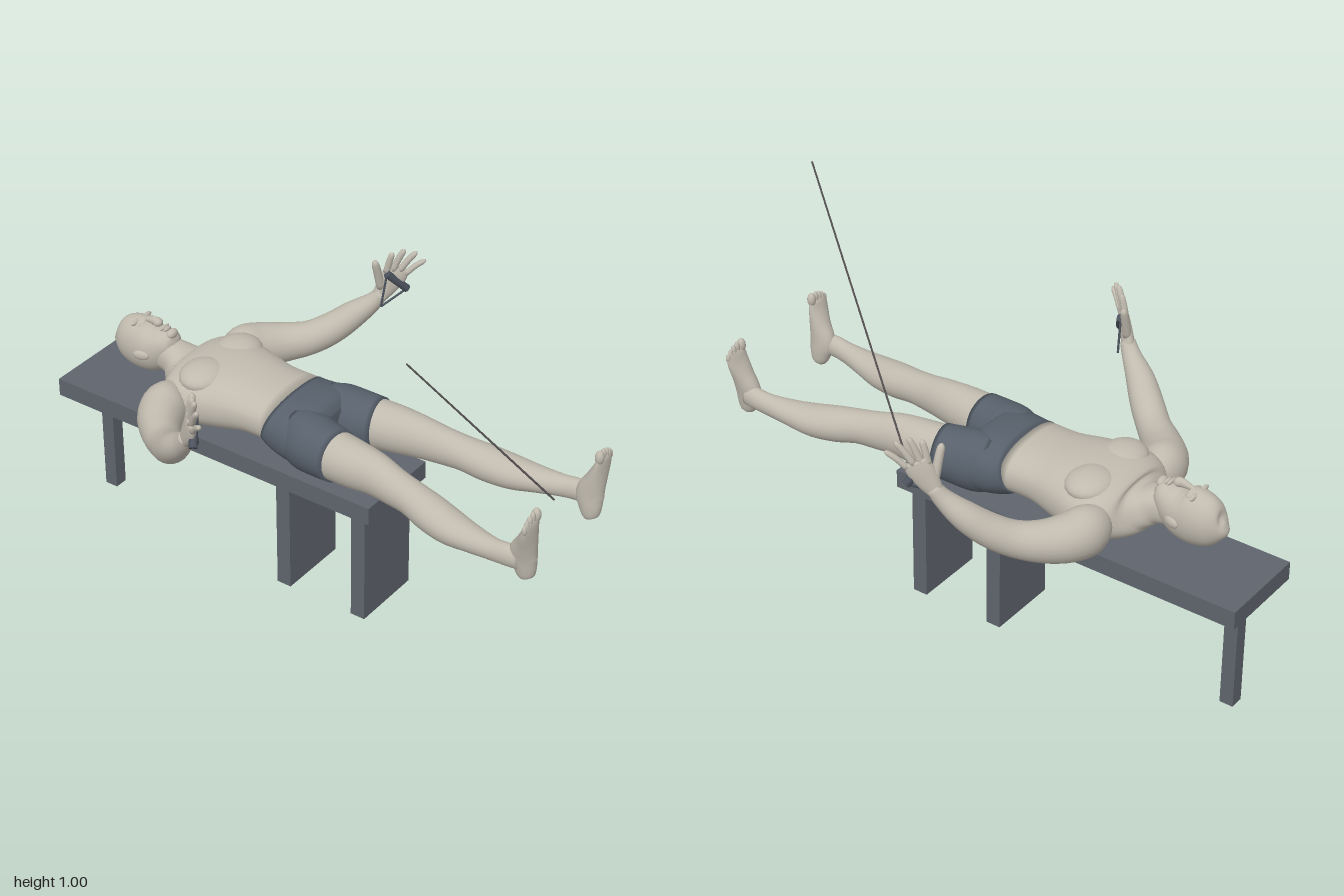
import * as THREE from 'three';

const mat = (name, color) => {
  const m = new THREE.MeshStandardMaterial({ color });
  m.name = name;
  return m;
};

// Smooth closed loft: rows are [x, y, z, radiusU, radiusV]; U = ref x tangent.
// s mirrors the rows in x, p squares the section.
function loft(rows, { ref = [0, 1, 0], s = 1, seg = 24, steps = 4, p = 2 } = {}) {
  const path = new THREE.CatmullRomCurve3(rows.map(r => new THREE.Vector3(r[0] * s, r[1], r[2])), false, 'catmullrom', 0.5);
  const radii = new THREE.CatmullRomCurve3(rows.map(r => new THREE.Vector3(r[3], r[4], 0)), false, 'catmullrom', 0.5);
  const n = (rows.length - 1) * steps, pos = [], idx = [];
  const R = new THREE.Vector3(ref[0] * s, ref[1], ref[2]);
  const power = v => Math.sign(v) * Math.abs(v) ** (2 / p);
  for (let i = 0; i <= n; i++) {
    const c = path.getPoint(i / n), T = path.getTangent(i / n), r = radii.getPoint(i / n);
    const U = R.clone().cross(T).normalize(), V = T.clone().cross(U);
    for (let j = 0; j < seg; j++) {
      const t = j / seg * Math.PI * 2;
      const q = c.clone()
        .addScaledVector(U, Math.max(r.x, 0.001) * power(Math.cos(t)))
        .addScaledVector(V, Math.max(r.y, 0.001) * power(Math.sin(t)));
      pos.push(q.x, q.y, q.z);
    }
  }
  for (let i = 0; i < n; i++) for (let j = 0; j < seg; j++) {
    const k = (j + 1) % seg, a = i * seg + j, b = i * seg + k;
    idx.push(a, b, b + seg, a, b + seg, a + seg);
  }
  const e = (n + 1) * seg;
  pos.push(...path.getPoint(0).toArray(), ...path.getPoint(1).toArray());
  for (let j = 0; j < seg; j++) {
    const k = (j + 1) % seg;
    idx.push(e, k, j, e + 1, n * seg + j, n * seg + k);
  }
  const g = new THREE.BufferGeometry();
  g.setAttribute('position', new THREE.Float32BufferAttribute(pos, 3));
  g.setIndex(idx);
  g.computeVertexNormals();
  return g;
}

export function createModel() {
  const model = new THREE.Group();
  model.name = 'manOnBench';
  const skin = mat('skin', 0xc0baae), cloth = mat('shortsCloth', 0x57606b);
  const benchMat = mat('bench', 0x5f656d), grip = mat('grip', 0x4c535d), barMat = mat('bar', 0x524e50);

  const add = (name, geo, m) => {
    const mesh = new THREE.Mesh(geo, m);
    mesh.name = name;
    model.add(mesh);
    return mesh;
  };
  const box = (name, w, h, d, x, y, z) => add(name, new THREE.BoxGeometry(w, h, d), benchMat).position.set(x, y, z);
  const ball = (name, m, c, r) => {
    const b = add(name, new THREE.SphereGeometry(1, 20, 14), m);
    b.position.set(...c);
    b.scale.set(...r);
    return b;
  };
  const rod = (name, m, a, b, r) => {
    const A = new THREE.Vector3(...a), B = new THREE.Vector3(...b), d = B.clone().sub(A);
    const c = add(name, new THREE.CylinderGeometry(r, r, d.length(), 12), m);
    c.position.copy(A).add(B).multiplyScalar(0.5);
    c.quaternion.setFromUnitVectors(new THREE.Vector3(0, 1, 0), d.normalize());
  };

  // Bench
  box('benchTop', 0.3, 0.06, 1.2, 0, 0.42, -0.4);
  box('benchFrontPanel', 0.24, 0.39, 0.05, 0, 0.195, 0.14);
  box('benchMiddlePanel', 0.24, 0.39, 0.05, 0, 0.195, -0.14);
  box('benchRearPost', 0.045, 0.39, 0.045, 0, 0.195, -0.918);

  // Slanted bar
  rod('slantedBar', barMat, [-0.448, 0.998, 0.998], [0.336, 0.627, 0], 0.003);

  // Torso and neck
  add('torso', loft([
    [0, 0.595, -0.70, 0.045, 0.05], [0, 0.59, -0.64, 0.055, 0.056], [0, 0.575, -0.605, 0.088, 0.062],
    [0, 0.565, -0.575, 0.15, 0.08], [0, 0.566, -0.52, 0.19, 0.098], [0, 0.57, -0.45, 0.19, 0.103],
    [0, 0.573, -0.37, 0.168, 0.099], [0, 0.575, -0.28, 0.147, 0.085], [0, 0.575, -0.18, 0.149, 0.081],
  ], { seg: 40, p: 2.3 }), skin);

  // Hips of the shorts
  add('shortsHips', loft([
    [0, 0.575, -0.192, 0.152, 0.084], [0, 0.563, -0.15, 0.16, 0.095], [0, 0.557, -0.1, 0.167, 0.1],
    [0, 0.557, -0.05, 0.165, 0.092], [0, 0.557, -0.025, 0.12, 0.06],
  ], { seg: 40, p: 2.3 }), cloth);

  // Head and face
  add('head', loft([
    [0, 0.61, -0.866, 0.008, 0.008], [0, 0.605, -0.855, 0.032, 0.045], [0, 0.603, -0.825, 0.054, 0.076],
    [0, 0.602, -0.78, 0.064, 0.09], [0, 0.603, -0.735, 0.064, 0.088], [0, 0.615, -0.70, 0.058, 0.072],
    [0, 0.635, -0.67, 0.049, 0.051], [0, 0.65, -0.65, 0.036, 0.035], [0, 0.655, -0.638, 0.018, 0.018],
  ], { seg: 32 }), skin);
  add('nose', loft([
    [0, 0.684, -0.77, 0.005, 0.005], [0, 0.69, -0.745, 0.008, 0.009], [0, 0.694, -0.718, 0.012, 0.014],
    [0, 0.692, -0.702, 0.016, 0.014], [0, 0.686, -0.694, 0.008, 0.006],
  ], { seg: 14 }), skin);
  ball('upperLip', skin, [0, 0.684, -0.68], [0.022, 0.007, 0.006]);
  ball('lowerLip', skin, [0, 0.682, -0.669], [0.018, 0.008, 0.006]);
  ball('chin', skin, [0, 0.672, -0.65], [0.022, 0.016, 0.014]);

  for (const s of [1, -1]) {
    const side = s > 0 ? 'left' : 'right';
    const N = part => side + part;
    const M = v => [v[0] * s, v[1], v[2]];

    // Face sides and chest
    ball(N('Brow'), skin, M([0.026, 0.682, -0.773]), [0.022, 0.009, 0.008]);
    ball(N('Eye'), skin, M([0.025, 0.677, -0.755]), [0.012, 0.009, 0.007]);
    const ear = ball(N('Ear'), skin, M([0.066, 0.598, -0.725]), [0.009, 0.016, 0.027]);
    ear.rotation.y = s * -0.25;
    ball(N('ChestMuscle'), skin, M([0.083, 0.637, -0.46]), [0.085, 0.042, 0.075]);

    // Shorts leg and bare leg
    add(N('ShortsLeg'), loft([
      [0.078, 0.557, -0.11, 0.075, 0.09], [0.088, 0.556, -0.06, 0.087, 0.096],
      [0.098, 0.556, 0, 0.086, 0.09], [0.107, 0.557, 0.06, 0.079, 0.084],
    ], { s, seg: 32 }), cloth);
    add(N('Leg'), loft([
      [0.102, 0.557, 0.02, 0.076, 0.08], [0.112, 0.559, 0.12, 0.069, 0.076], [0.118, 0.56, 0.2, 0.059, 0.069],
      [0.13, 0.552, 0.28, 0.052, 0.06], [0.14, 0.546, 0.35, 0.052, 0.054], [0.153, 0.534, 0.42, 0.058, 0.055],
      [0.168, 0.525, 0.5, 0.057, 0.05], [0.18, 0.526, 0.58, 0.045, 0.04], [0.19, 0.53, 0.66, 0.031, 0.035],
      [0.193, 0.535, 0.71, 0.028, 0.036], [0.189, 0.535, 0.75, 0.026, 0.036],
    ], { s, seg: 28 }), skin);

    // Foot, heel to ball, with toes pointing up
    add(N('Foot'), loft([
      [0.176, 0.466, 0.768, 0.008, 0.008], [0.176, 0.476, 0.765, 0.022, 0.026], [0.178, 0.51, 0.76, 0.028, 0.038],
      [0.182, 0.55, 0.755, 0.031, 0.045], [0.188, 0.6, 0.768, 0.036, 0.032], [0.195, 0.645, 0.779, 0.041, 0.02],
      [0.198, 0.675, 0.784, 0.04, 0.013], [0.198, 0.688, 0.785, 0.034, 0.007],
    ], { s, ref: [0, 0, 1] }), skin);
    [[0.17, 0.692, 0.014, 0.023], [0.19, 0.693, 0.009, 0.02], [0.206, 0.688, 0.009, 0.019],
      [0.22, 0.681, 0.008, 0.018], [0.232, 0.672, 0.008, 0.016]].forEach(([x, y, r, h], i) =>
      ball(N('Toe' + (i + 1)), skin, M([x, y, 0.785]), [r, h, r]));

    // Arm, shoulder to wrist
    add(N('Arm'), loft([
      [0.12, 0.562, -0.525, 0.04, 0.05], [0.19, 0.56, -0.525, 0.07, 0.078], [0.25, 0.555, -0.5, 0.072, 0.074],
      [0.31, 0.555, -0.45, 0.061, 0.064], [0.36, 0.567, -0.39, 0.053, 0.055], [0.405, 0.6, -0.335, 0.052, 0.05],
      [0.447, 0.65, -0.28, 0.045, 0.043], [0.475, 0.7, -0.228, 0.031, 0.03], [0.49, 0.74, -0.2, 0.024, 0.022],
    ], { s }), skin);

    // Palm, fingers and thumb
    const ref = [-0.78, 0, 0.62];
    add(N('Palm'), loft([
      [0.483, 0.72, -0.21, 0.023, 0.022], [0.498, 0.76, -0.19, 0.034, 0.018],
      [0.511, 0.8, -0.17, 0.04, 0.015], [0.518, 0.826, -0.162, 0.034, 0.009],
    ], { s, ref }), skin);
    const finger = (name, b, t, r) => {
      const at = (k, w, lift) => [b[0] + (t[0] - b[0]) * k, b[1] + (t[1] - b[1]) * k + lift, b[2] + (t[2] - b[2]) * k, w, w];
      add(N(name), loft([at(0, r, 0), at(0.5, r * 0.95, 0.004), at(0.88, r * 0.8, 0.001), at(1, r * 0.25, 0)],
        { s, ref, seg: 12 }), skin);
    };
    finger('IndexFinger', [0.494, 0.815, -0.188], [0.497, 0.888, -0.168], 0.011);
    finger('MiddleFinger', [0.508, 0.82, -0.173], [0.522, 0.898, -0.14], 0.011);
    finger('RingFinger', [0.522, 0.817, -0.157], [0.548, 0.887, -0.112], 0.0105);
    finger('LittleFinger', [0.533, 0.805, -0.143], [0.566, 0.857, -0.09], 0.0095);
    finger('Thumb', [0.484, 0.76, -0.202], [0.453, 0.868, -0.205], 0.014);

    // Handle held in the palm, with two straps meeting below it
    const top = [0.482, 0.816, -0.178], low = [0.538, 0.75, -0.14], join = [0.461, 0.706, -0.185];
    rod(N('Handle'), grip, M(top), M(low), 0.013);
    rod(N('InnerStrap'), grip, M(top), M(join), 0.0035);
    rod(N('OuterStrap'), grip, M(low), M(join), 0.0035);
  }
  return model;
}
